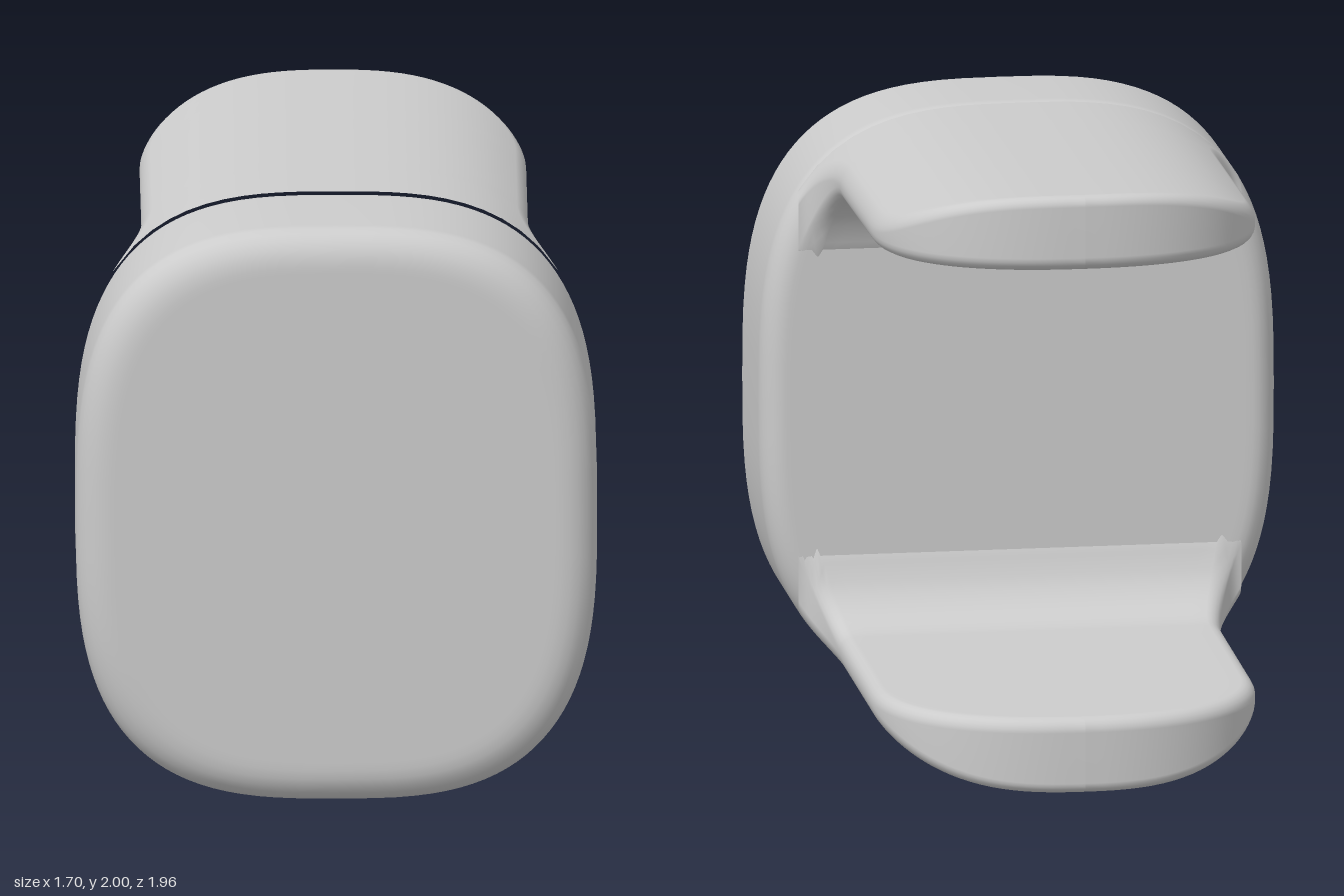
import * as THREE from 'three';

const material = new THREE.MeshStandardMaterial({ color: 0xcccccc });
const HALF_WIDTH = 0.85, FRONT = 0.98, BACK = 0.45;

// half height of the outer shell grows slightly towards the back
const halfHeight = z => 0.965 + 0.0177 * (FRONT - z);
// outer surface of an arm, continuing the rounded shape of the block
const topY = (x, z) => halfHeight(z) * Math.cbrt(1 - Math.abs(x / HALF_WIDTH) ** 3);
// inner surface of an arm, dropping in a quarter round to the block
function innerY(z) {
  const u = Math.min(Math.max((z - 0.2) / 0.25, 0), 1);
  return 0.729 - 0.018 * (z - 0.2) - 0.25 * (1 - Math.sqrt(1 - u * u));
}

// skin closed loops, each running clockwise seen from +z, ordered back to front
function loft(loops) {
  const n = loops[0].length, index = [];
  for (let i = 0; i < loops.length - 1; i++) {
    for (let j = 0; j < n; j++) {
      const a = i * n + j, b = i * n + (j + 1) % n;
      index.push(a, a + n, b, b, a + n, b + n);
    }
  }
  const geometry = new THREE.BufferGeometry();
  geometry.setAttribute('position', new THREE.Float32BufferAttribute(loops.flat(2), 3));
  geometry.setIndex(index);
  geometry.computeVertexNormals();
  return geometry;
}

// front block: superellipse sections with rounded front and back rims
function blockGeometry() {
  const loops = [];
  const section = (inset, z, scale = 1) => {
    const loop = [];
    for (let k = 0; k < 112; k++) {
      const t = (k / 112) * Math.PI * 2, s = Math.sin(t), c = Math.cos(t);
      loop.push([
        scale * (HALF_WIDTH - inset) * Math.sign(s) * Math.abs(s) ** (2 / 3),
        scale * (halfHeight(z) - inset) * Math.sign(c) * Math.abs(c) ** (2 / 3), z]);
    }
    loops.push(loop);
  };
  const rim = (k, steps) => (k / steps) * Math.PI / 2;
  section(0.08, BACK, 0);
  section(0.08, BACK, 0.97);
  for (let k = 0; k <= 6; k++) {
    const a = rim(k, 6);
    section(0.08 * (1 - Math.sin(a)), BACK + 0.09 * (1 - Math.cos(a)));
  }
  for (let k = 0; k <= 6; k++) {
    const a = rim(k, 6);
    section(0.115 * (1 - Math.cos(a)), FRONT - 0.1 * (1 - Math.sin(a)));
  }
  section(0.115, FRONT, 0.97);
  section(0.115, FRONT, 0);
  return loft(loops);
}

// arm: half outline in plan from the rounded tip to the flare at the block
function armOutline() {
  const points = [];
  for (let k = 0; k <= 24; k++) {
    const a = (k / 24) * Math.PI / 2, e = 2 / 2.3;
    points.push([0.63 * Math.sin(a) ** e, -0.45 - 0.53 * Math.max(Math.cos(a), 0) ** e]);
  }
  for (let k = 1; k < 6; k++) points.push([0.63, -0.45 + 0.65 * k / 6]);
  for (let k = 0; k <= 12; k++) {
    const a = (k / 12) * Math.PI / 2;
    points.push([0.63 + 0.1 * (1 - Math.cos(a)), 0.2 + 0.25 * Math.sin(a)]);
  }
  return points;
}

function armGeometry() {
  const outline = armOutline(), across = 24, steps = 5, rTop = 0.035, rInner = 0.045;
  const loops = outline.map(([x, z], i) => {
    // outward direction in plan
    const p = outline[Math.max(i - 1, 0)], q = outline[Math.min(i + 1, outline.length - 1)];
    const len = Math.hypot(q[0] - p[0], q[1] - p[1]);
    const nx = i === 0 ? 0 : (q[1] - p[1]) / len;
    const nz = i === 0 ? -1 : -(q[0] - p[0]) / len;
    const inset = d => [Math.max(x - nx * d, 0), z - nz * d];
    const [xt, zt] = inset(rTop), [xi, zi] = inset(rInner);
    const loop = [], edge = [];
    // rounded upper and lower edges
    for (let k = 1; k <= steps; k++) {
      const a = (k / steps) * Math.PI / 2;
      const [ex, ez] = inset(rTop * (1 - Math.sin(a)));
      edge.push([ex, topY(ex, ez) - rTop * (1 - Math.cos(a)), ez]);
    }
    for (let k = steps; k >= 1; k--) {
      const a = (k / steps) * Math.PI / 2;
      const [ex, ez] = inset(rInner * (1 - Math.sin(a)));
      edge.push([ex, innerY(ez) + rInner * (1 - Math.cos(a)), ez]);
    }
    for (let k = 0; k <= across; k++) {
      const px = xt * (2 * k / across - 1);
      loop.push([px, topY(px, zt), zt]);
    }
    loop.push(...edge);
    for (let k = 0; k <= across; k++) loop.push([xi * (1 - 2 * k / across), innerY(zi), zi]);
    loop.push(...edge.slice().reverse().map(([ex, ey, ez]) => [-ex, ey, ez]));
    return loop;
  });
  return loft(loops);
}

export function createModel() {
  const group = new THREE.Group();
  group.name = 'clip';
  const add = (name, geometry) => {
    const mesh = new THREE.Mesh(geometry, material);
    mesh.name = name;
    mesh.position.y = 1;
    group.add(mesh);
    return mesh;
  };
  add('frontBlock', blockGeometry());
  const arm = armGeometry();
  add('upperArm', arm);
  add('lowerArm', arm).rotation.z = Math.PI;
  return group;
}
